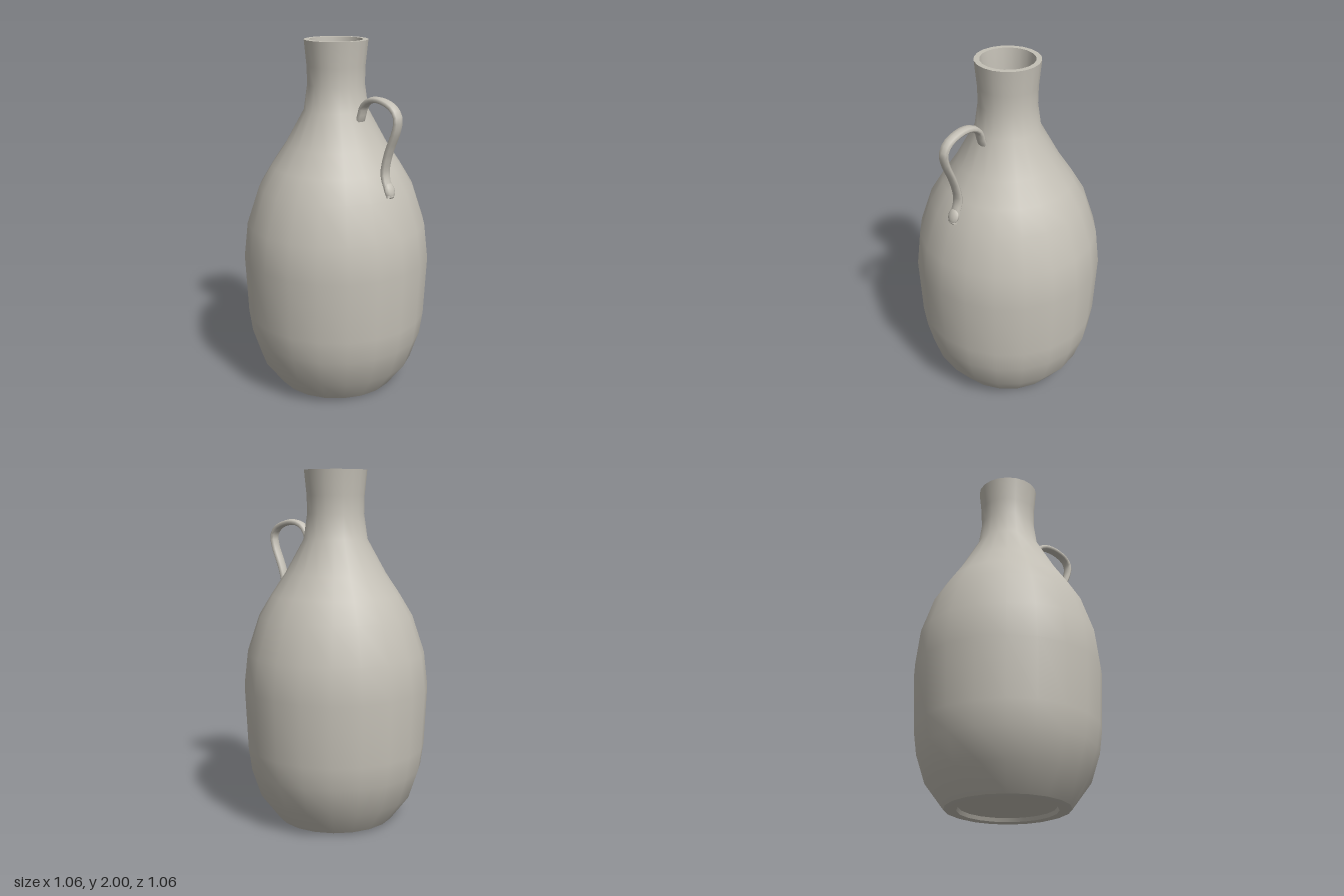
import * as THREE from 'three';

const SIDES = 20;

export function createModel() {
  const group = new THREE.Group();
  group.name = 'jug';
  const clay = new THREE.MeshStandardMaterial({ color: 0xc4c0b6 });
  clay.name = 'grey clay';

  const add = (name, geometry) => {
    const mesh = new THREE.Mesh(geometry, clay);
    mesh.name = name;
    group.add(mesh);
    return mesh;
  };
  // Each profile is a list of [radius, height]; separate profiles keep crisp edges between them
  const turn = (name, profile) =>
    add(name, new THREE.LatheGeometry(profile.map(([r, y]) => new THREE.Vector2(r, y)), SIDES));

  // Outer wall: belly, shoulder and flared neck
  turn('body', [
    [0.34, 0.01], [0.445, 0.15], [0.497, 0.31], [0.515, 0.44], [0.53, 0.78],
    [0.507, 0.98], [0.437, 1.19], [0.365, 1.31], [0.285, 1.43], [0.18, 1.62],
    [0.16, 1.76], [0.162, 1.86], [0.176, 2],
  ]);

  // Rim and hollow mouth
  turn('rim', [[0.176, 2], [0.147, 2]]);
  turn('neckInside', [[0.147, 2], [0.137, 1.88], [0.135, 1.74], [0.15, 1.6], [0.2, 1.46]]);
  turn('mouthFloor', [[0.2, 1.46], [0, 1.46]]);

  // Foot ring with a shallow recess underneath
  turn('footRing', [[0.272, 0.005], [0.31, 0], [0.34, 0.01]]);
  turn('footRecess', [[0.262, 0.025], [0.272, 0.005]]);
  turn('base', [[0, 0.025], [0.262, 0.025]]);

  // Strap handle, flattened across its width
  const path = new THREE.CatmullRomCurve3([
    [0.18, 1.56], [0.197, 1.6], [0.217, 1.66], [0.26, 1.697], [0.335, 1.708],
    [0.43, 1.677], [0.463, 1.63], [0.457, 1.57], [0.412, 1.46], [0.392, 1.4],
    [0.38, 1.32], [0.402, 1.25], [0.425, 1.2],
  ].map(([x, y]) => new THREE.Vector3(x, y, 0)));
  const handle = add('handle', new THREE.TubeGeometry(path, 28, 0.017, 8));
  handle.scale.z = 1.9;

  // Clay pressed on where the handle meets the shoulder
  const foot = add('handleFoot', new THREE.SphereGeometry(1, 10, 8));
  foot.scale.set(0.02, 0.045, 0.036);
  foot.position.set(0.415, 1.235, 0);
  foot.rotation.z = 0.36;

  return group;
}
